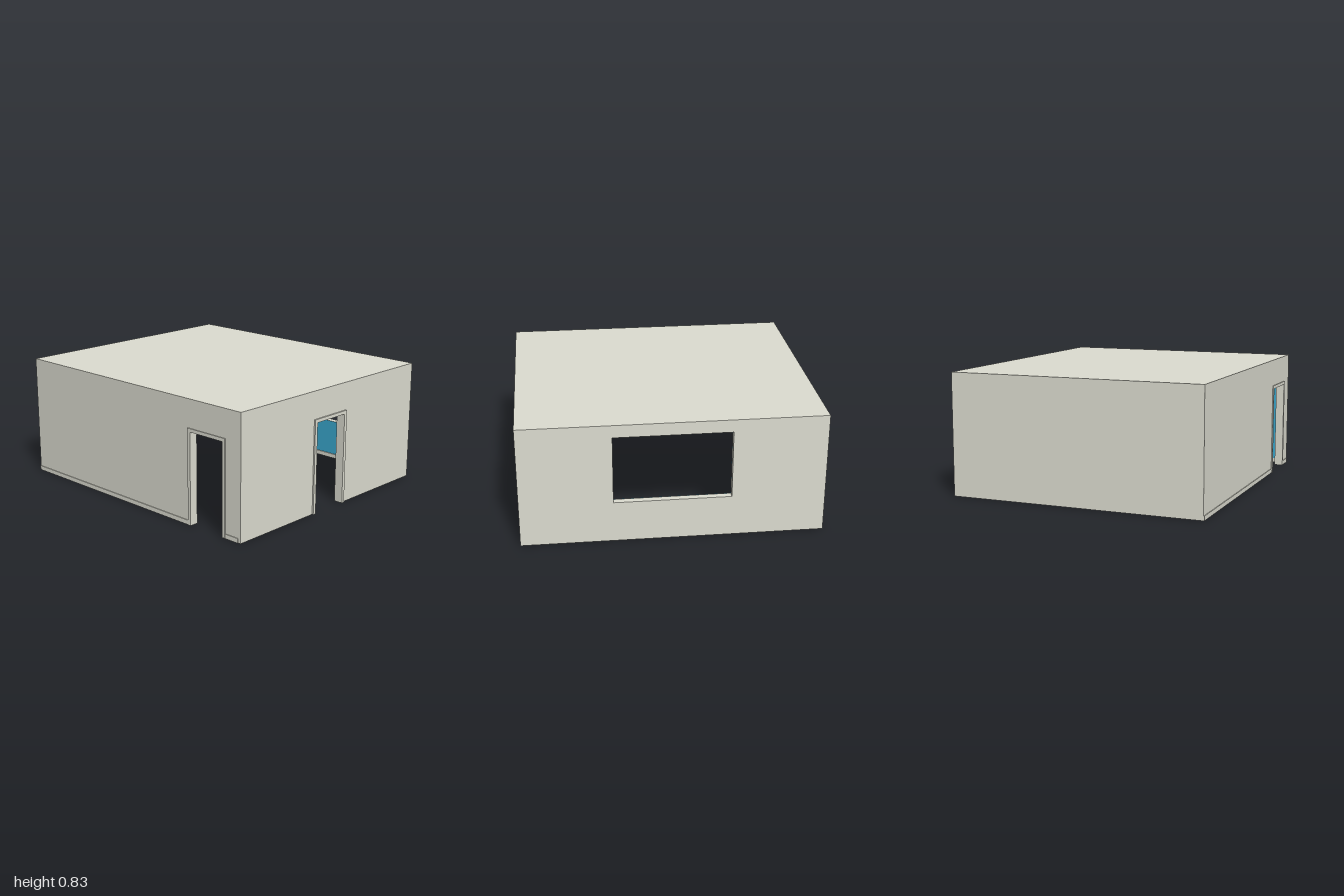
import * as THREE from 'three';

const WALL = new THREE.MeshStandardMaterial({ color: 0xdcdcd0, side: THREE.DoubleSide });
const PAINT = new THREE.MeshStandardMaterial({ color: 0x3aa9d0, side: THREE.DoubleSide });

const X0 = -0.868, X1 = 0.87, Z0 = -1, Z1 = 0.99; // outer faces
const T = 0.045;            // wall thickness
const H = 0.827, CEIL = 0.815;
const DOOR_H = 0.617, TRIM = 0.023, SKIRT = 0.03;

const poly = (pts) => new THREE.Shape(pts.map(([x, y]) => new THREE.Vector2(x, y)));

// Wall outline with an optional door notch or window hole
function outline(u0, u1, top, door, win) {
  const pts = [[u0, 0]];
  if (door) pts.push([door[0], 0], [door[0], DOOR_H], [door[1], DOOR_H], [door[1], 0]);
  pts.push([u1, 0], [u1, top], [u0, top]);
  const shape = poly(pts);
  if (win) {
    const [a, b, c, d] = win;
    shape.holes.push(poly([[a, c], [a, d], [b, d], [b, c]]));
  }
  return shape;
}

// Solid slab of a shape between two depths
function slab(name, shape, za, zb, mat = WALL) {
  const geo = new THREE.ExtrudeGeometry(shape, { depth: Math.abs(zb - za), bevelEnabled: false });
  geo.translate(0, 0, Math.min(za, zb));
  const mesh = new THREE.Mesh(geo, mat);
  mesh.name = name;
  return mesh;
}

// U-shaped casing around a door
function casing([a, b]) {
  const h = DOOR_H + TRIM;
  return poly([[a - TRIM, 0], [a, 0], [a, DOOR_H], [b, DOOR_H], [b, 0],
    [b + TRIM, 0], [b + TRIM, h], [a - TRIM, h]]);
}

// One wall with its outer face at local z = 0; s is the outward direction
function buildWall({ name, span, inner, s, door, win, outTrim = 0, outSkirt = [] }) {
  const g = new THREE.Group();
  g.name = name;
  g.add(slab('wallPanel', outline(...span, H, door, win), 0, -s * T));

  // painted inner face
  const paint = new THREE.Mesh(new THREE.ShapeGeometry(outline(...inner, CEIL, door, win)), PAINT);
  paint.position.z = -s * (T + 0.002);
  paint.name = 'wallPaint';
  g.add(paint);

  // inner skirting, interrupted by the door
  const runs = door ? [[inner[0], door[0] - TRIM], [door[1] + TRIM, inner[1]]] : [inner];
  for (const [a, b] of runs)
    g.add(slab('innerSkirting', outline(a, b, SKIRT), -s * T, -s * (T + 0.01)));

  if (door) {
    g.add(slab('outerDoorCasing', casing(door), 0, s * outTrim));
    g.add(slab('innerDoorCasing', casing(door), -s * T, -s * (T + 0.008)));
  }
  for (const [a, b] of outSkirt)
    g.add(slab('outerSkirting', outline(a, b, SKIRT), 0, s * 0.005));
  return g;
}

export function createModel() {
  const model = new THREE.Group();
  model.name = 'room';
  const xIn = [X0 + T, X1 - T], zIn = [Z0 + T, Z1 - T];

  // front and back walls
  const front = buildWall({ name: 'frontWall', span: [X0, X1], inner: xIn, s: 1,
    door: [-0.167, 0.108], outTrim: 0.01 });
  front.position.z = Z1;
  const back = buildWall({ name: 'backWall', span: [X0, X1], inner: xIn, s: -1 });
  back.position.z = Z0;

  // side walls: local x runs along world z
  const right = buildWall({ name: 'rightWall', span: zIn, inner: zIn, s: 1,
    door: [0.565, 0.84], outTrim: 0.006, outSkirt: [[Z0, 0.542], [0.863, 0.97]] });
  right.position.x = X0;
  const left = buildWall({ name: 'leftWall', span: zIn, inner: zIn, s: -1,
    win: [-0.384, 0.384, 0.281, 0.742] });
  left.position.x = X1;
  right.rotation.y = left.rotation.y = -Math.PI / 2;

  // thin flat roof between the walls
  const roof = new THREE.Mesh(
    new THREE.BoxGeometry(X1 - X0 - 2 * T, H - CEIL, Z1 - Z0 - 2 * T), WALL);
  roof.position.set((X0 + X1) / 2, (H + CEIL) / 2, (Z0 + Z1) / 2);
  roof.name = 'roof';

  model.add(front, back, right, left, roof);
  return model;
}
